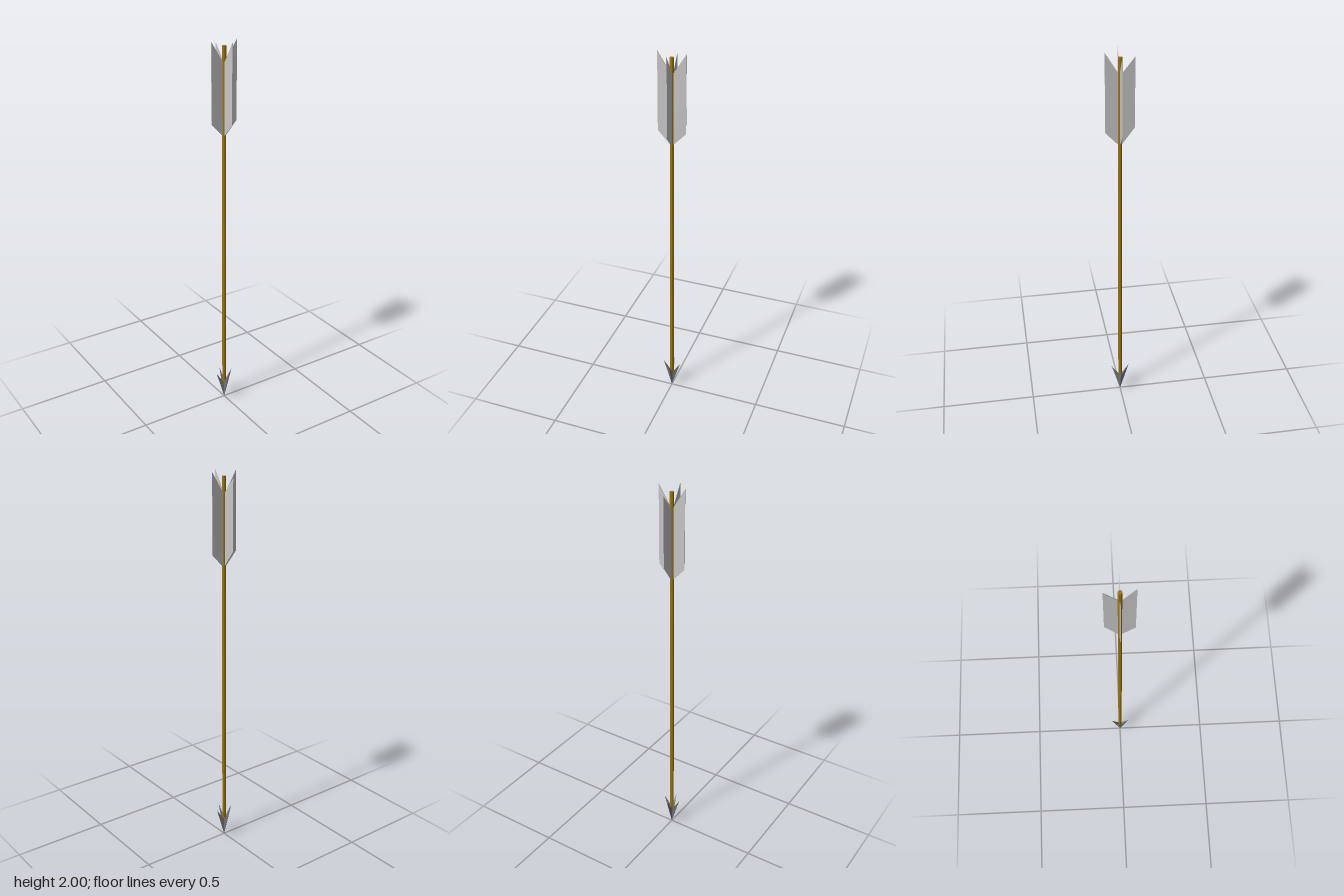
import * as THREE from 'three';

// Blade standing on the axis: outline points are [radius, height, half thickness]
function bladeGeometry(outline) {
  const pos = [];
  const n = outline.length;
  const point = (i, side) => {
    const [r, y, t] = outline[i % n];
    return [r, y, t * side];
  };
  for (let i = 1; i < n - 1; i++) {
    pos.push(...point(0, 1), ...point(i, 1), ...point(i + 1, 1));
    pos.push(...point(0, -1), ...point(i + 1, -1), ...point(i, -1));
  }
  for (let i = 0; i < n; i++) {
    pos.push(...point(i, 1), ...point(i, -1), ...point(i + 1, -1));
    pos.push(...point(i, 1), ...point(i + 1, -1), ...point(i + 1, 1));
  }
  const geometry = new THREE.BufferGeometry();
  geometry.setAttribute('position', new THREE.Float32BufferAttribute(pos, 3));
  geometry.computeVertexNormals();
  return geometry;
}

export function createModel() {
  const material = (name, color) => {
    const m = new THREE.MeshStandardMaterial({ color });
    m.name = name;
    return m;
  };
  const wood = material('golden wood', 0x9c7614);
  const feather = material('pale feather', 0xc8c6c6);
  const steel = material('grey steel', 0x787878);
  wood.flatShading = true;

  const group = new THREE.Group();
  group.name = 'arrow';
  const add = (name, geometry, mat) => {
    const mesh = new THREE.Mesh(geometry, mat);
    mesh.name = name;
    group.add(mesh);
    return mesh;
  };

  // Shaft, running down into the head
  const shaft = add('shaft', new THREE.CylinderGeometry(0.0105, 0.0105, 1.885, 8), wood);
  shaft.position.y = 1.0325;
  shaft.rotation.y = Math.PI / 8;

  // Four fins and four barbs around the axis: +x, -z, -x, +z
  for (let i = 0; i < 4; i++) {
    const angle = (i * Math.PI) / 2;
    const short = i === 1; // the rear fin is slightly shorter
    const fin = bladeGeometry([
      [0, 1.525, 0.003],
      [0.072, short ? 1.62 : 1.6, 0.0012],
      [0.072, short ? 1.975 : 2, 0.0012],
      [0, 1.885, 0.003],
    ]);
    add('fletchingFin', fin, feather).rotation.y = angle;

    const barb = bladeGeometry([
      [0, 0, 0.001],
      [0.048, 0.162, 0.0006],
      [0.009, 0.1, 0.008],
      [0, 0.09, 0.009],
    ]);
    add('headBarb', barb, steel).rotation.y = angle;
  }
  return group;
}
